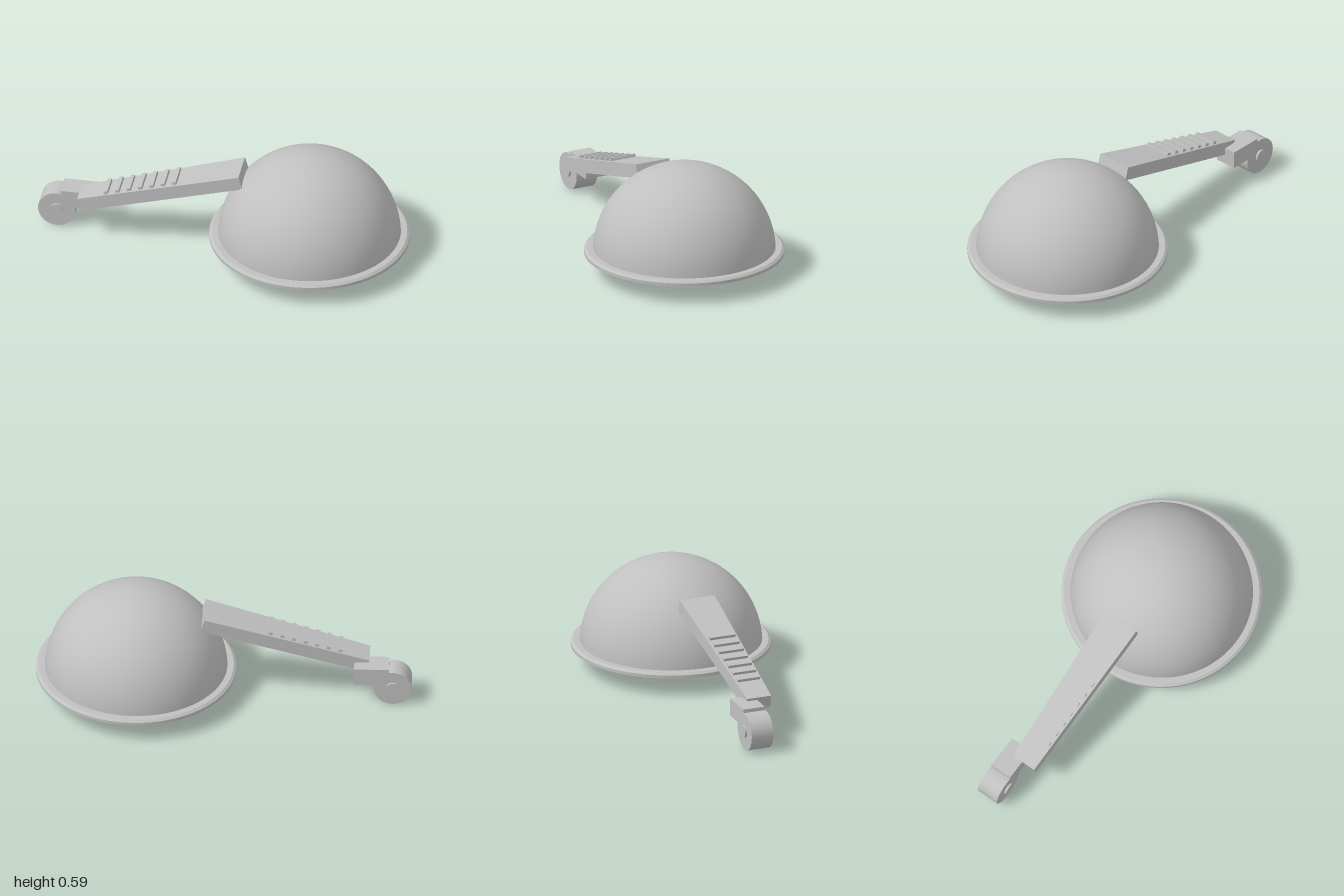
import * as THREE from 'three';
import { toCreasedNormals } from 'three/addons/utils/BufferGeometryUtils.js';

const metal = new THREE.MeshStandardMaterial({ color: 0xc0c0c0 });
metal.name = 'light grey';

function part(name, geometry, x = 0, y = 0, z = 0) {
  const mesh = new THREE.Mesh(geometry, metal);
  mesh.name = name;
  mesh.position.set(x, y, z);
  return mesh;
}

// Quarter arc of a shell, from the equator to the pole
function arc(radius, baseY, steps = 32) {
  const start = Math.asin(baseY / radius);
  return Array.from({ length: steps + 1 }, (_, i) => {
    const a = start + (Math.PI / 2 - start) * (i / steps);
    return new THREE.Vector2(i === steps ? 0 : radius * Math.cos(a), radius * Math.sin(a));
  });
}

// One closed surface of revolution from a profile, with crisp edges
function turned(points) {
  return toCreasedNormals(new THREE.LatheGeometry(points, 96), 0.5);
}

export function createModel() {
  const model = new THREE.Group();
  model.name = 'domeWithHandle';

  // Hollow dome: inner wall downwards, then outer wall upwards
  const rim = [[0.456, 0], [0.533, 0], [0.533, 0.017], [0.519, 0.028], [0.485, 0.028]];
  const profile = [
    ...arc(0.456, 0).reverse(),
    ...rim.slice(1).map(([r, y]) => new THREE.Vector2(r, y)),
    ...arc(0.486, 0.028),
  ];
  model.add(part('domeWithRim', turned(profile), 0.467, 0.105, 0));

  // Sloping handle, wider towards the dome
  const handle = new THREE.Group();
  handle.name = 'handle';
  handle.position.set(-0.775, 0.232, 0);
  handle.rotation.z = 0.288;
  const length = 0.913;
  const halfWidth = (s) => 0.069 + 0.031 * (s / length);
  const bar = new THREE.BoxGeometry(length, 0.075, 2).toNonIndexed();
  bar.translate(length / 2, -0.0375, 0);
  const p = bar.attributes.position;
  for (let i = 0; i < p.count; i++) p.setZ(i, p.getZ(i) * halfWidth(p.getX(i)));
  bar.computeVertexNormals();
  handle.add(part('handleBar', bar));

  // Grip ribs across the top of the handle
  for (let i = 0; i < 7; i++) {
    const s = 0.163 + i * 0.0643;
    const rib = new THREE.BoxGeometry(0.022, 0.026, 0.128 + i * 0.0033);
    handle.add(part('gripRib', rib, s, 0.003, 0));
  }
  model.add(handle);

  // Wheel, axle and mounting block beside the end of the handle
  const wheelZ = -0.073;
  const disc = (radius, depth) => new THREE.CylinderGeometry(radius, radius, depth, 48).rotateX(Math.PI / 2);
  model.add(part('wheel', disc(0.1, 0.124), -0.9, 0.1, wheelZ));
  model.add(part('axle', disc(0.034, 0.146), -0.9, 0.103, wheelZ));
  model.add(part('wheelBlock', new THREE.BoxGeometry(0.185, 0.097, 0.123), -0.7875, 0.1695, wheelZ));

  return model;
}
